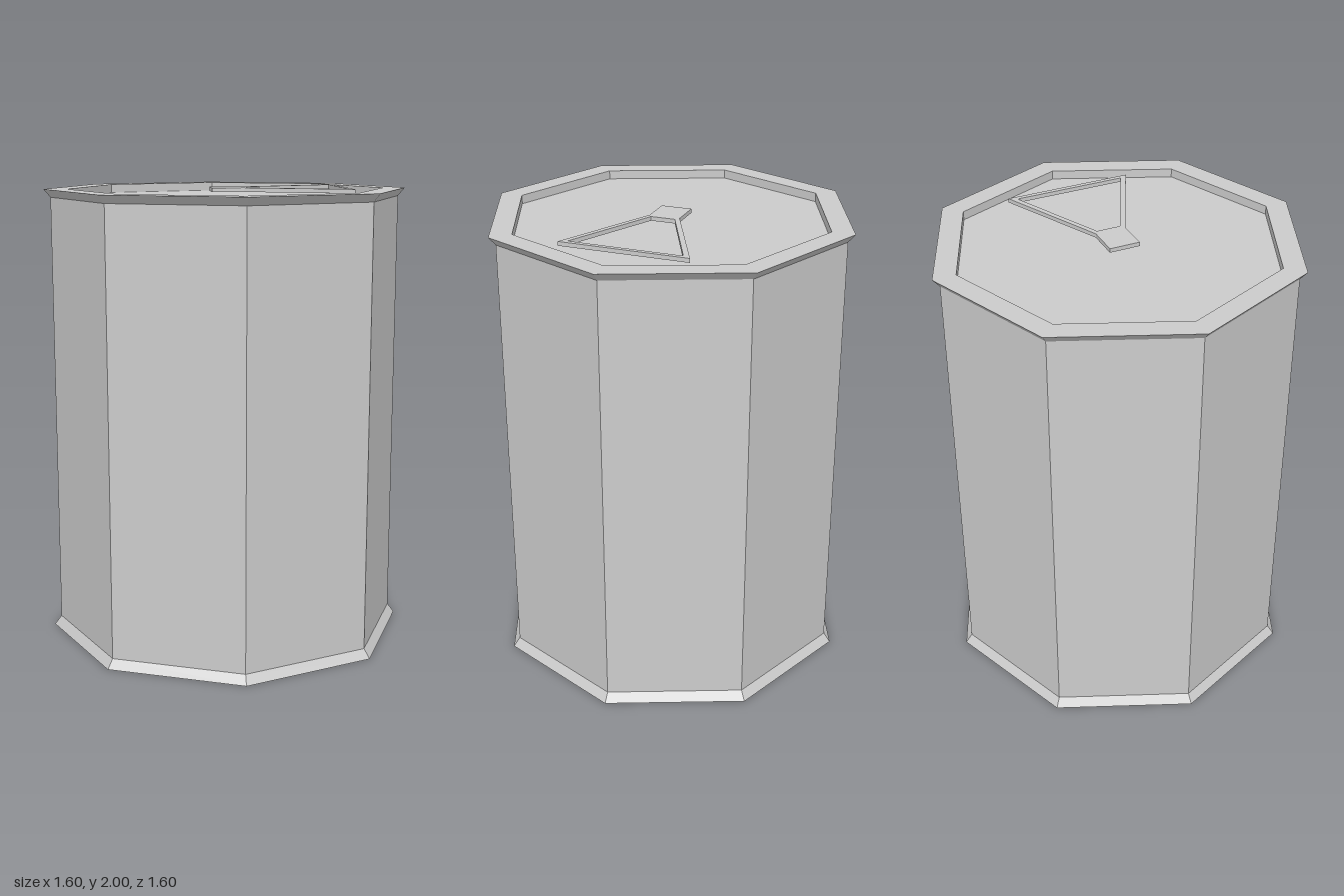
import * as THREE from 'three';

const SIDES = 8;
const TOP = 1.995; // height of the rim; the pull tab sits just above it

export function createModel() {
  const can = new THREE.Group();
  can.name = 'can';
  const material = new THREE.MeshStandardMaterial({ color: 0xcccccc, flatShading: true });

  const add = (name, geometry) => {
    const mesh = new THREE.Mesh(geometry, material);
    mesh.name = name;
    can.add(mesh);
    return mesh;
  };
  // Eight-sided surface from [radius, height] pairs
  const turned = (name, profile) =>
    add(name, new THREE.LatheGeometry(profile.map(([r, y]) => new THREE.Vector2(r, y)), SIDES));

  // Recessed base with flared rim, straight wall, flared rim with recessed lid
  turned('base', [[0, 0.04], [0.7, 0.04], [0.7, 0], [0.8, 0], [0.77, 0.04]]);
  turned('wall', [[0.77, 0.04], [0.77, 1.96]]);
  turned('lid', [[0.77, 1.96], [0.8, TOP], [0.7, TOP], [0.7, 1.957], [0, 1.957]]);

  // Thin pull tab: short handle widening into a trapezoid ring
  const outline = (points) => points.map(([x, y]) => new THREE.Vector2(x, y));
  const tab = new THREE.Shape(outline([
    [-0.07, -0.067], [0.07, -0.067], [0.52, -0.28], [0.52, 0.28], [0.07, 0.067], [-0.07, 0.067],
  ]));
  tab.holes.push(new THREE.Path(outline([
    [0.09, -0.053], [0.09, 0.053], [0.5, 0.245], [0.5, -0.245],
  ])));
  const tabGeometry = new THREE.ExtrudeGeometry(tab, { depth: 0.018, bevelEnabled: false });
  tabGeometry.rotateX(-Math.PI / 2);
  add('pullTab', tabGeometry).position.y = 1.982;

  return can;
}
